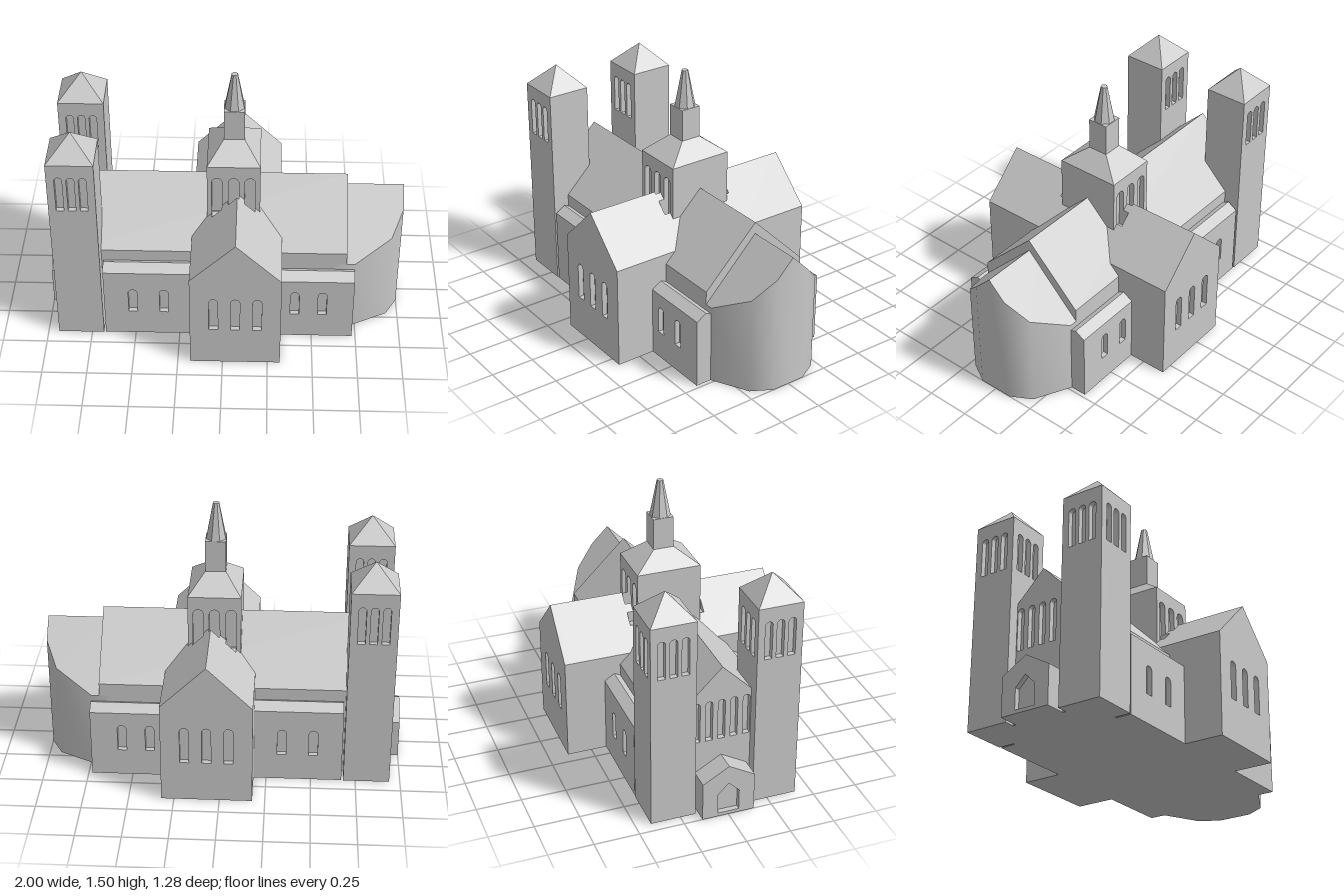
import * as THREE from 'three';

const D = 0.03; // depth of window recesses

export function createModel() {
  const model = new THREE.Group();
  model.name = 'church';
  const stone = new THREE.MeshStandardMaterial({ color: 0xc8c8c8 });
  stone.name = 'stone grey';

  const add = (name, geo) => {
    const m = new THREE.Mesh(geo, stone);
    m.name = name;
    model.add(m);
    return m;
  };
  const poly = (pts) => new THREE.Shape(pts.map(([a, b]) => new THREE.Vector2(a, b)));

  // outline in (x, y), running from z0 to z1
  const alongZ = (name, pts, z0, z1, holes = []) => {
    const s = poly(pts);
    s.holes.push(...holes);
    const g = new THREE.ExtrudeGeometry(s, { depth: z1 - z0, bevelEnabled: false, curveSegments: 6 });
    return add(name, g.translate(0, 0, z0));
  };
  // outline in (z, y), running from x0 to x1
  const alongX = (name, pts, x0, x1, holes = []) => {
    const s = poly(pts);
    s.holes.push(...holes);
    const g = new THREE.ExtrudeGeometry(s, { depth: x1 - x0, bevelEnabled: false, curveSegments: 6 });
    return add(name, g.rotateY(-Math.PI / 2).translate(x1, 0, 0));
  };
  const block = (name, x0, x1, y0, y1, z0, z1) => add(name,
    new THREE.BoxGeometry(x1 - x0, y1 - y0, z1 - z0)
      .translate((x0 + x1) / 2, (y0 + y1) / 2, (z0 + z1) / 2));
  const rect = (a0, a1, b0, b1) => [[a0, b0], [a1, b0], [a1, b1], [a0, b1]];
  const gable = (c, h, eave, ridge) =>
    [[c - h, 0], [c + h, 0], [c + h, eave], [c, ridge], [c - h, eave]];

  // round-headed window openings of width w
  const windows = (centres, w, bottom, top) => centres.map((c) => {
    const p = new THREE.Path();
    p.moveTo(c - w / 2, bottom);
    p.lineTo(c + w / 2, bottom);
    p.lineTo(c + w / 2, top - w / 2);
    p.absarc(c, top - w / 2, w / 2, 0, Math.PI, false);
    p.lineTo(c - w / 2, bottom);
    return p;
  });

  // four-sided roof, narrowing to a smaller half size at the top
  const taperedRoof = (name, cx, cz, hx, hz, tx, tz, y0, y1) => {
    const g = new THREE.BoxGeometry(2, 1, 2).toNonIndexed();
    const p = g.attributes.position;
    for (let i = 0; i < p.count; i++) {
      const up = p.getY(i) > 0;
      p.setXYZ(i, cx + p.getX(i) * (up ? tx : hx), up ? y1 : y0, cz + p.getZ(i) * (up ? tz : hz));
    }
    g.computeVertexNormals();
    add(name, g);
  };

  // nave with west gable wall
  const naveEnd = gable(0, 0.32, 0.53, 0.847);
  alongX('nave', naveEnd, -0.88 + D, 0.685);
  alongX('naveWestWall', naveEnd, -0.88, -0.88 + D,
    windows([-0.14, -0.07, 0, 0.07, 0.14], 0.04, 0.41, 0.65));

  // porch with a pointed doorway
  const porchEnd = gable(0, 0.147, 0.222, 0.307);
  const door = new THREE.Path(
    [[-0.06, 0.02], [0.06, 0.02], [0.06, 0.14], [0, 0.2], [-0.06, 0.14]].map(([a, b]) => new THREE.Vector2(a, b)));
  alongX('porch', porchEnd, -1 + D, -0.86);
  alongX('porchFront', porchEnd, -1, -1 + D, [door]);

  // west towers
  for (const s of [-1, 1]) {
    const c = 0.29 * s, h = 0.125, x0 = -0.94, x1 = -0.683, mid = (x0 + x1) / 2;
    block('towerCore', x0 + D, x1, 0, 1.18, c - h + D, c + h - D);
    alongX('towerWestWall', rect(c - h, c + h, 0, 1.18), x0, x0 + D,
      windows([c - 0.065, c, c + 0.065], 0.042, 0.88, 1.1));
    for (const z of [c - h, c + h - D]) {
      alongZ('towerSideWall', rect(x0 + D, x1, 0, 1.18), z, z + D,
        windows([mid - 0.065, mid, mid + 0.065], 0.042, 0.88, 1.1));
    }
    taperedRoof('towerRoof', mid, c, (x1 - x0) / 2, h, 0.0005, 0.0005, 1.18, 1.31);
  }

  // side aisles
  for (const s of [-1, 1]) {
    for (const [x0, x1, eave, centres] of [
      [-0.672, -0.17, 0.44, [-0.51, -0.335]],
      [0.31, 0.73, 0.4, [0.4, 0.555]],
    ]) {
      const o = 0.412;
      const pts = [[0.28, 0], [o - D, 0], [o - D, eave], [o, eave], [0.355, eave + 0.036], [0.28, eave]];
      alongX('aisle', pts.map(([z, y]) => [z * s, y]), x0, x1);
      const z = s > 0 ? o - D : -o;
      alongZ('aisleWall', rect(x0, x1, 0, eave), z, z + D, windows(centres, 0.05, 0.16, 0.32));
    }
  }

  // transept, with roof notches in front of the crossing windows
  const cross = gable(0.07, 0.25, 0.59, 0.835);
  const roofY = (x) => 0.835 - 0.98 * Math.abs(x - 0.07);
  const notched = [[-0.18, 0], [0.32, 0], [0.32, 0.59]];
  for (const [a, b] of [[0.17, 0.11], [0.08, 0.02], [-0.015, -0.07]]) {
    notched.push([a, roofY(a)], [a, 0.69], [b, 0.69], [b, roofY(b)]);
  }
  notched.push([-0.18, 0.59]);
  alongZ('transeptMiddle', notched, -0.22, 0.22);
  for (const s of [-1, 1]) {
    const inner = 0.22, outer = 0.638;
    alongZ('transeptArm', cross, s > 0 ? inner : -outer + D, s > 0 ? outer - D : -inner);
    const z = s > 0 ? outer - D : -outer;
    alongZ('transeptEndWall', cross, z, z + D, windows([-0.05, 0.07, 0.19], 0.05, 0.24, 0.46));
  }

  // crossing tower, lantern and spire
  const cz = 0.185;
  block('crossingCore', -0.097, 0.197, 0.3, 1.015, -cz + D, cz - D);
  for (const z of [-cz, cz - D]) {
    alongZ('crossingWall', rect(-0.097, 0.197, 0.3, 1.015), z, z + D,
      windows([-0.042, 0.05, 0.14], 0.058, 0.69, 0.94));
  }
  taperedRoof('crossingRoof', 0.05, 0, 0.147, cz, 0.057, 0.058, 1.015, 1.112);
  block('lantern', -0.007, 0.107, 1.1, 1.293, -0.058, 0.058);
  const spire = new THREE.CylinderGeometry(0.018, 0.058, 0.207, 8).toNonIndexed();
  spire.rotateY(Math.PI / 8);
  spire.computeVertexNormals();
  add('spire', spire.translate(0.05, 1.3965, 0));

  // apse: smooth curved wall cut off by a straight gable roof
  const half = [[0.6, 0.32], [0.73, 0.32], [0.935, 0.215], [1, 0.1]];
  const plan = [...half, [1, 0], ...half.map(([x, z]) => [x, -z]).reverse()];
  const apseY = (z) => 0.78 - 1.015 * Math.abs(z);
  const makeGeo = (verts, index) => {
    const g = new THREE.BufferGeometry();
    g.setAttribute('position', new THREE.Float32BufferAttribute(verts.flat(), 3));
    g.setIndex(index);
    g.computeVertexNormals();
    return g;
  };
  const wall = [], wallIndex = [];
  plan.forEach(([x, z], i) => {
    wall.push([x, 0, z], [x, apseY(z), z]);
    if (i) {
      const a = 2 * i - 2;
      wallIndex.push(a, a + 2, a + 1, a + 1, a + 2, a + 3);
    }
  });
  add('apseWall', makeGeo(wall, wallIndex));
  const fan = (n, flip) => {
    const out = [];
    for (let i = 1; i < n - 1; i++) out.push(0, flip ? i + 1 : i, flip ? i : i + 1);
    return out;
  };
  for (const s of [-1, 1]) {
    const rim = [[0.6, 0], ...half, [1, 0]].map(([x, z]) => [x, apseY(z), z * s]);
    add('apseRoof', makeGeo(rim, fan(rim.length, s < 0)));
  }
  add('apseFloor', makeGeo(plan.map(([x, z]) => [x, 0, z]), fan(plan.length, true)));

  return model;
}
